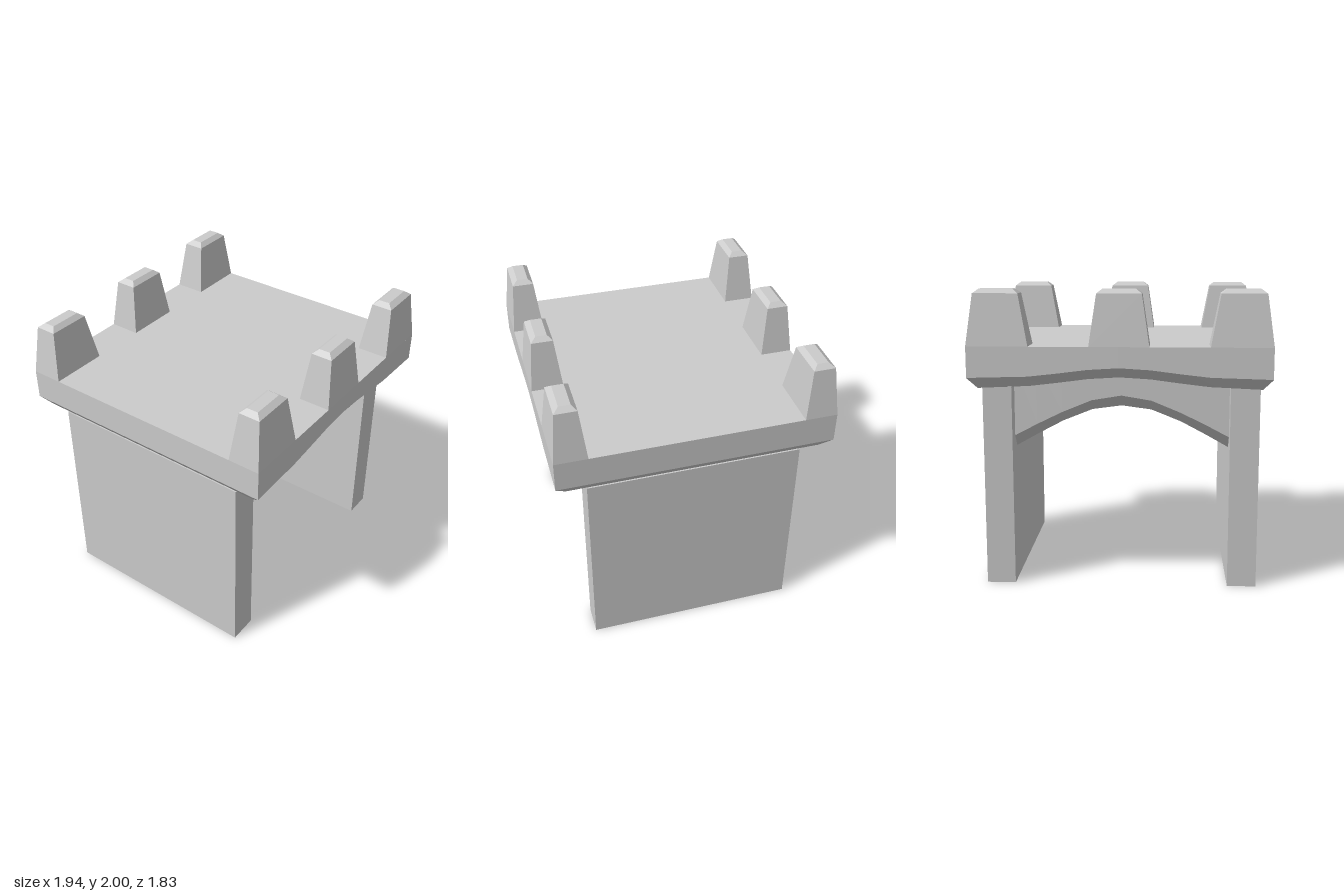
import * as THREE from 'three';
import { toCreasedNormals } from 'three/addons/utils/BufferGeometryUtils.js';

const material = new THREE.MeshStandardMaterial({ color: 0xcccccc });

// Skins a list of equal-sized rings (counter-clockwise seen from the last one) and caps both ends.
function loft(name, rings) {
  const n = rings[0].length, last = (rings.length - 1) * n, index = [];
  for (let r = 0; r < rings.length - 1; r++) {
    for (let i = 0; i < n; i++) {
      const a = r * n + i, b = r * n + (i + 1) % n;
      index.push(a, b, b + n, a, b + n, a + n);
    }
  }
  for (let i = 1; i < n - 1; i++) {
    index.push(0, i + 1, i);
    index.push(last, last + i, last + i + 1);
  }
  const geometry = new THREE.BufferGeometry();
  geometry.setAttribute('position', new THREE.Float32BufferAttribute(rings.flat(2), 3));
  geometry.setIndex(index);
  const mesh = new THREE.Mesh(toCreasedNormals(geometry, 0.45), material);
  mesh.name = name;
  return mesh;
}

// Slab running along x with a curved, chamfered underside.
// Half profile entries, centre outward: [x, edge height, underside height, underside half depth]
function archedSlab(name, top, depth, half) {
  const mirrored = half.slice(1).reverse().map(([x, ...rest]) => [-x, ...rest]);
  return loft(name, [...mirrored, ...half].map(([x, edge, under, inner]) => [
    [x, top, -depth], [x, top, depth], [x, edge, depth],
    [x, under, inner], [x, under, -inner], [x, edge, -depth],
  ]));
}

// Tapered battlement block with a bevelled cap.
function merlon(name, halfWidths, offsets, side) {
  const levels = [1.64, 1.972, 2];
  const z = [[0.7, 0.915], [0.738, 0.882], [0.77, 0.845]];
  return loft(name, levels.map((y, i) => {
    const x0 = offsets[i] - halfWidths[i], x1 = offsets[i] + halfWidths[i];
    const [z0, z1] = side > 0 ? z[i] : [-z[i][1], -z[i][0]];
    return [[x0, y, z0], [x0, y, z1], [x1, y, z1], [x1, y, z0]];
  }));
}

export function createModel() {
  const group = new THREE.Group();
  group.name = 'battlementBridge';

  // Supporting side walls
  for (const s of [1, -1]) {
    const wall = new THREE.Mesh(new THREE.BoxGeometry(0.193, 1.355, 1.424), material);
    wall.position.set(s * 0.8175, 0.6775, 0);
    wall.name = s > 0 ? 'leftWall' : 'rightWall';
    group.add(wall);
  }

  // Vault between the walls
  group.add(archedSlab('arch', 1.5, 0.603, [
    [0, 1.285, 1.207, 0.53], [0.2, 1.252, 1.18, 0.53], [0.4, 1.17, 1.1, 0.53],
    [0.57, 1.087, 1.01, 0.53], [0.72, 1.008, 0.926, 0.53], [0.765, 0.985, 0.9, 0.53],
  ]));

  // Flat-topped deck, its lower edge bevelled all round
  group.add(archedSlab('deck', 1.64, 0.915, [
    [0, 1.507, 1.44, 0.845], [0.2, 1.495, 1.428, 0.845], [0.4, 1.47, 1.402, 0.845],
    [0.58, 1.45, 1.381, 0.845], [0.915, 1.441, 1.366, 0.845], [0.972, 1.438, 1.438, 0.915],
  ]));

  // Three merlons along the front and back
  for (const side of [1, -1]) {
    const row = side > 0 ? 'front' : 'back';
    group.add(merlon(row + 'CentreMerlon', [0.192, 0.143, 0.107], [0, 0, 0], side));
    for (const s of [1, -1]) {
      const offsets = [0.774, 0.782, 0.782].map((x) => s * x);
      group.add(merlon(row + (s > 0 ? 'Left' : 'Right') + 'Merlon', [0.198, 0.144, 0.108], offsets, side));
    }
  }
  return group;
}
